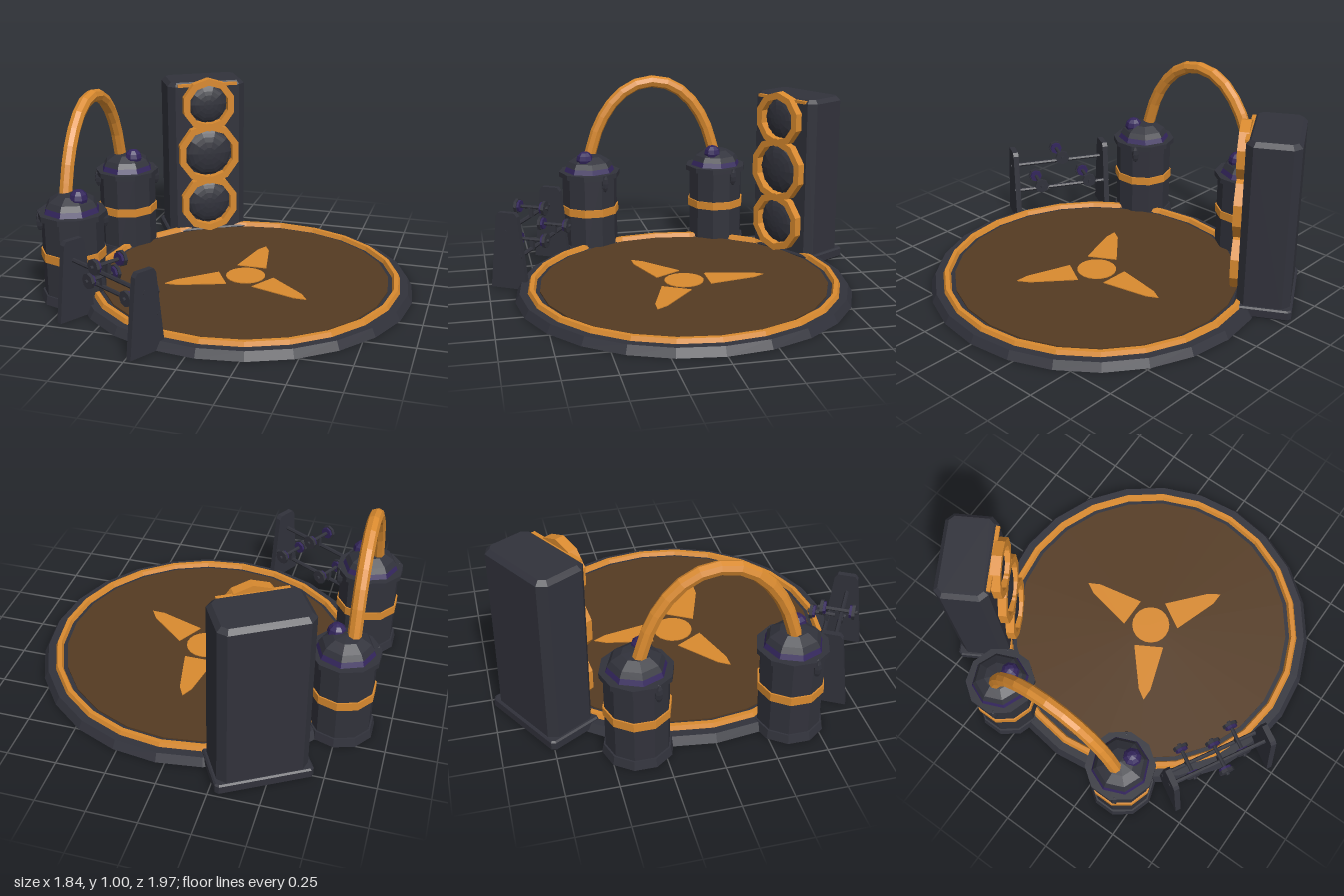
import * as THREE from 'three';

const mat = (name, color) => {
  const m = new THREE.MeshStandardMaterial({ color, flatShading: true });
  m.name = name;
  return m;
};

export function createModel() {
  const dark = mat('charcoal', 0x31323b);
  const orange = mat('orange', 0xd98a2f);
  const brown = mat('brown floor', 0x553b22);
  const purple = mat('purple', 0x33255c);
  const model = new THREE.Group();
  model.name = 'gymStage';

  const add = (parent, name, geo, m, x = 0, y = 0, z = 0) => {
    const mesh = new THREE.Mesh(geo, m);
    mesh.name = name;
    mesh.position.set(x, y, z);
    parent.add(mesh);
    return mesh;
  };
  const group = (name, x, z, angle = 0) => {
    const g = new THREE.Group();
    g.name = name;
    g.position.set(x, 0, z);
    g.rotation.y = angle;
    model.add(g);
    return g;
  };
  const cyl = (rTop, rBottom, h, n) => new THREE.CylinderGeometry(rTop, rBottom, h, n);
  const lathe = (pts, n) => new THREE.LatheGeometry(pts.map(p => new THREE.Vector2(...p)), n);
  const shapeOf = pts => new THREE.Shape(pts.map(p => new THREE.Vector2(...p)));
  const polygon = (r, n) => Array.from({ length: n }, (_, i) => {
    const a = Math.PI / 2 + i * 2 * Math.PI / n;
    return [r * Math.cos(a), r * Math.sin(a)];
  });

  // Round stage with a raised rim and a fan emblem
  const stage = group('stage', 0.045, 0.005);
  add(stage, 'stageBase', cyl(0.85, 0.873, 0.042, 24), dark, 0, 0.021, 0);
  add(stage, 'stageRim', lathe([[0.81, 0.04], [0.8, 0.064], [0.778, 0.064], [0.768, 0.04]], 24), orange);
  add(stage, 'stageFloor', cyl(0.747, 0.747, 0.008, 24), brown, 0, 0.045, 0);
  add(stage, 'emblemHub', cyl(0.103, 0.103, 0.005, 20), orange, 0, 0.051, 0);
  for (let i = 0; i < 3; i++) {
    const blade = new THREE.ExtrudeGeometry(
      shapeOf([[-0.08, 0.125], [0.08, 0.125], [0.032, 0.37], [0, 0.43], [-0.032, 0.37]]),
      { depth: 0.005, bevelEnabled: false });
    blade.rotateX(-Math.PI / 2).rotateY(i * 2 * Math.PI / 3);
    add(stage, 'emblemBlade', blade, orange, 0, 0.0485, 0);
  }

  // Upright chamfered block with bevelled top and bottom
  const block = (w, d, h, c, b) => {
    const x = w / 2 - b, z = d / 2 - b;
    const geo = new THREE.ExtrudeGeometry(shapeOf([
      [-x + c, -z], [x - c, -z], [x, -z + c], [x, z - c],
      [x - c, z], [-x + c, z], [-x, z - c], [-x, -z + c]]),
      { depth: h - 2 * b, bevelEnabled: true, bevelSize: b, bevelThickness: b, bevelSegments: 1 });
    return geo.rotateX(-Math.PI / 2).translate(0, b, 0);
  };

  // Speaker tower
  const tower = group('speakerTower', -0.425, -0.752, Math.PI / 6);
  add(tower, 'cabinet', block(0.445, 0.265, 0.925, 0.025, 0.022), dark);
  add(tower, 'plinth', block(0.48, 0.29, 0.055, 0.012, 0.008), dark);
  add(tower, 'trimBar', new THREE.BoxGeometry(0.34, 0.016, 0.02), orange, 0, 0.91, 0.13);
  for (const [y, r] of [[0.8, 0.152], [0.515, 0.18], [0.215, 0.167]]) {
    const ring = shapeOf(polygon(r, 10));
    ring.holes.push(new THREE.Path(polygon(r - 0.038, 10).map(p => new THREE.Vector2(...p))));
    add(tower, 'speakerRing', new THREE.ExtrudeGeometry(ring, { depth: 0.05, bevelEnabled: false }),
      orange, 0, y, 0.127);
    const cone = new THREE.SphereGeometry(r - 0.04, 10, 6, 0, Math.PI * 2, 0, Math.PI / 2);
    add(tower, 'speakerDome', cone.rotateX(Math.PI / 2).scale(1, 1, 0.32), dark, 0, y, 0.131);
  }

  // Two lidded drums
  for (const z of [0.383, -0.362]) {
    const drum = group('drum', -0.752, z);
    add(drum, 'drumFoot', cyl(0.165, 0.174, 0.045, 10), dark, 0, 0.0225, 0);
    add(drum, 'drumBody', cyl(0.156, 0.156, 0.43, 10), dark, 0, 0.235, 0);
    add(drum, 'drumBand', cyl(0.164, 0.164, 0.044, 10), orange, 0, 0.247, 0);
    add(drum, 'drumRim', cyl(0.175, 0.175, 0.028, 10), dark, 0, 0.453, 0);
    add(drum, 'lidCollar', cyl(0.128, 0.145, 0.035, 8), purple, 0, 0.483, 0);
    add(drum, 'lidDome', lathe([[0.136, 0.495], [0.118, 0.523], [0.07, 0.553], [0, 0.563]], 8), dark);
    add(drum, 'lidKnob', new THREE.SphereGeometry(0.048, 8, 6), purple, 0.054, 0.543, 0.032);
    for (const s of [1, -1]) {
      const handle = new THREE.SphereGeometry(0.02, 6, 6).scale(1, 2.5, 1);
      add(drum, 'drumHandle', handle, dark, s * 0.147, 0.42, -s * 0.068);
    }
  }

  // Arched pipe joining the drums
  const half = [[0.375, 0.51], [0.31, 0.715], [0.225, 0.85], [0.12, 0.935]];
  const path = [...half, [0, 0.963], ...half.slice().reverse().map(([z, y]) => [-z, y])];
  const arch = new THREE.CatmullRomCurve3(path.map(([z, y]) => new THREE.Vector3(-0.785, y, z + 0.01)));
  add(model, 'archPipe', new THREE.TubeGeometry(arch, 14, 0.034, 8), orange);

  // Dumbbell rack: two tapered side plates and two rails
  const rack = group('dumbbellRack', -0.415, 0.752, -Math.PI / 6);
  const plate = new THREE.ExtrudeGeometry(
    shapeOf([[-0.102, 0], [0.102, 0], [0.06, 0.39], [0.045, 0.41], [-0.045, 0.41], [-0.06, 0.39]]),
    { depth: 0.03, bevelEnabled: false });
  plate.rotateY(Math.PI / 2).translate(-0.015, 0, 0);
  for (const s of [1, -1]) add(rack, 'rackSide', plate, dark, s * 0.268, 0, 0);
  const rail = cyl(0.011, 0.011, 0.57, 6).rotateZ(Math.PI / 2);
  add(rack, 'upperRail', rail, dark, 0, 0.308, 0.01);
  add(rack, 'lowerRail', rail, dark, 0, 0.182, -0.07);

  // Dumbbells lying across the rails
  const disc = (r, h) => cyl(r, r, h, 8).rotateX(Math.PI / 2);
  for (const [x, y, z] of [[0, 0.365, -0.005], [-0.142, 0.232, -0.073], [0.142, 0.232, -0.073]]) {
    const bell = new THREE.Group();
    bell.name = 'dumbbell';
    bell.position.set(x, y, z);
    rack.add(bell);
    add(bell, 'grip', disc(0.01, 0.2), dark);
    add(bell, 'cradle', new THREE.BoxGeometry(0.02, 0.05, 0.02), dark, 0, -0.03, 0);
    for (const s of [1, -1]) {
      add(bell, 'weight', disc(0.04, 0.016), dark, 0, 0, s * 0.08);
      add(bell, 'innerWeight', disc(0.033, 0.014), purple, 0, 0, s * 0.066);
    }
  }
  return model;
}
